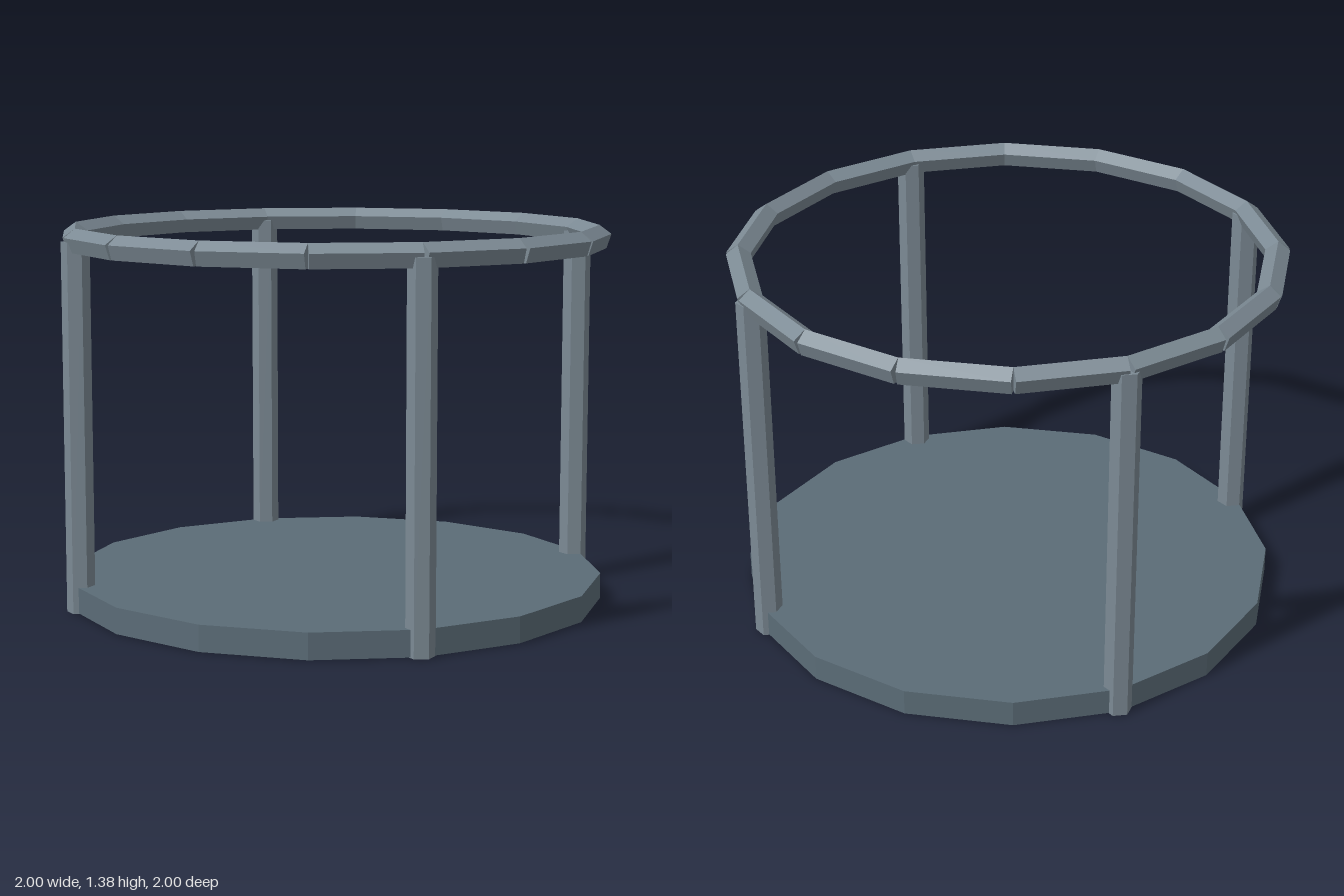
import * as THREE from 'three';

export function createModel() {
  const model = new THREE.Group();
  model.name = 'roundRailStand';

  const baseMaterial = new THREE.MeshStandardMaterial({ color: 0x5b6c77, flatShading: true });
  baseMaterial.name = 'slate blue grey';
  const frameMaterial = new THREE.MeshStandardMaterial({ color: 0x7c8a94, flatShading: true });
  frameMaterial.name = 'light steel grey';

  const SIDES = 16;
  const RADIUS = 0.957; // radius of the rail's corners and the posts
  const RAIL_Y = 1.332;

  function add(name, geometry, material, parent = model) {
    const mesh = new THREE.Mesh(geometry, material);
    mesh.name = name;
    parent.add(mesh);
    return mesh;
  }

  // Sixteen-sided floor disc
  const base = add('base', new THREE.CylinderGeometry(0.982, 0.982, 0.094, SIDES), baseMaterial);
  base.position.y = 0.049;

  // Four hexagonal posts on the diagonals
  const postGeometry = new THREE.CylinderGeometry(0.051, 0.051, RAIL_Y, 6);
  for (let i = 0; i < 4; i++) {
    const a = Math.PI / 4 + (i * Math.PI) / 2;
    add('post', postGeometry, frameMaterial)
      .position.set(RADIUS * Math.cos(a), RAIL_Y / 2, RADIUS * Math.sin(a));
  }

  // Top rail: straight five-sided bars, ridge up, meeting at the corners
  const rail = new THREE.Group();
  rail.name = 'topRail';
  model.add(rail);
  const half = Math.PI / SIDES;
  const apothem = RADIUS * Math.cos(half);
  const barGeometry = new THREE.CylinderGeometry(0.046, 0.046, 2 * RADIUS * Math.sin(half), 5);
  barGeometry.rotateX(-Math.PI / 2);
  for (let i = 0; i < SIDES; i++) {
    const a = (2 * i + 1) * half;
    const bar = add('railBar', barGeometry, frameMaterial, rail);
    bar.position.set(apothem * Math.cos(a), RAIL_Y, apothem * Math.sin(a));
    bar.rotation.y = -a;
  }

  return model;
}
